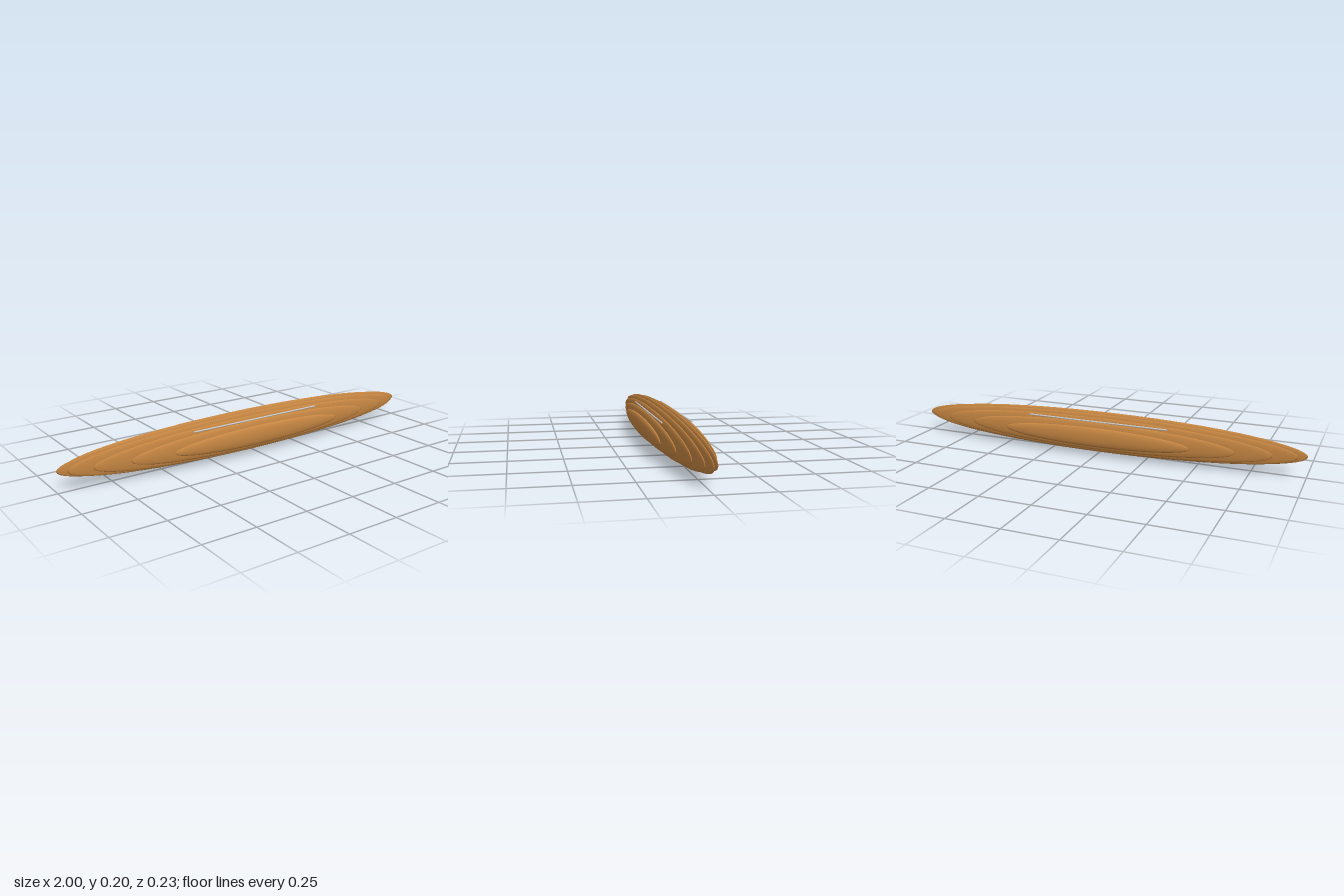
import * as THREE from 'three';

export function createModel() {
  const group = new THREE.Group();
  const brown = new THREE.MeshStandardMaterial({ color: 0xc68642 });
  brown.name = 'warmBrown';
  const silver = new THREE.MeshStandardMaterial({ color: 0xc8c8c8 });
  silver.name = 'paleSilver';

  // Row of flattened ellipsoid slices, shrinking away from the middle
  const slice = new THREE.SphereGeometry(1, 48, 32);
  const lengths = [1, 0.96, 0.853, 0.685, 0.479];
  for (let i = -4; i <= 4; i++) {
    const half = lengths[Math.abs(i)];
    const mesh = new THREE.Mesh(slice, brown);
    mesh.name = 'bodySlice';
    mesh.scale.set(half, half * 0.1, 0.015);
    mesh.position.set(0, 0.1, i * 0.025);
    group.add(mesh);
  }

  // Thin straight rods lying in the upper grooves
  const rod = new THREE.CylinderGeometry(0.004, 0.004, 0.72, 10).rotateZ(Math.PI / 2);
  for (const side of [-1, 1]) {
    const mesh = new THREE.Mesh(rod, silver);
    mesh.name = 'grooveRod';
    mesh.position.set(0, 0.17, side * 0.069);
    group.add(mesh);
  }
  return group;
}
